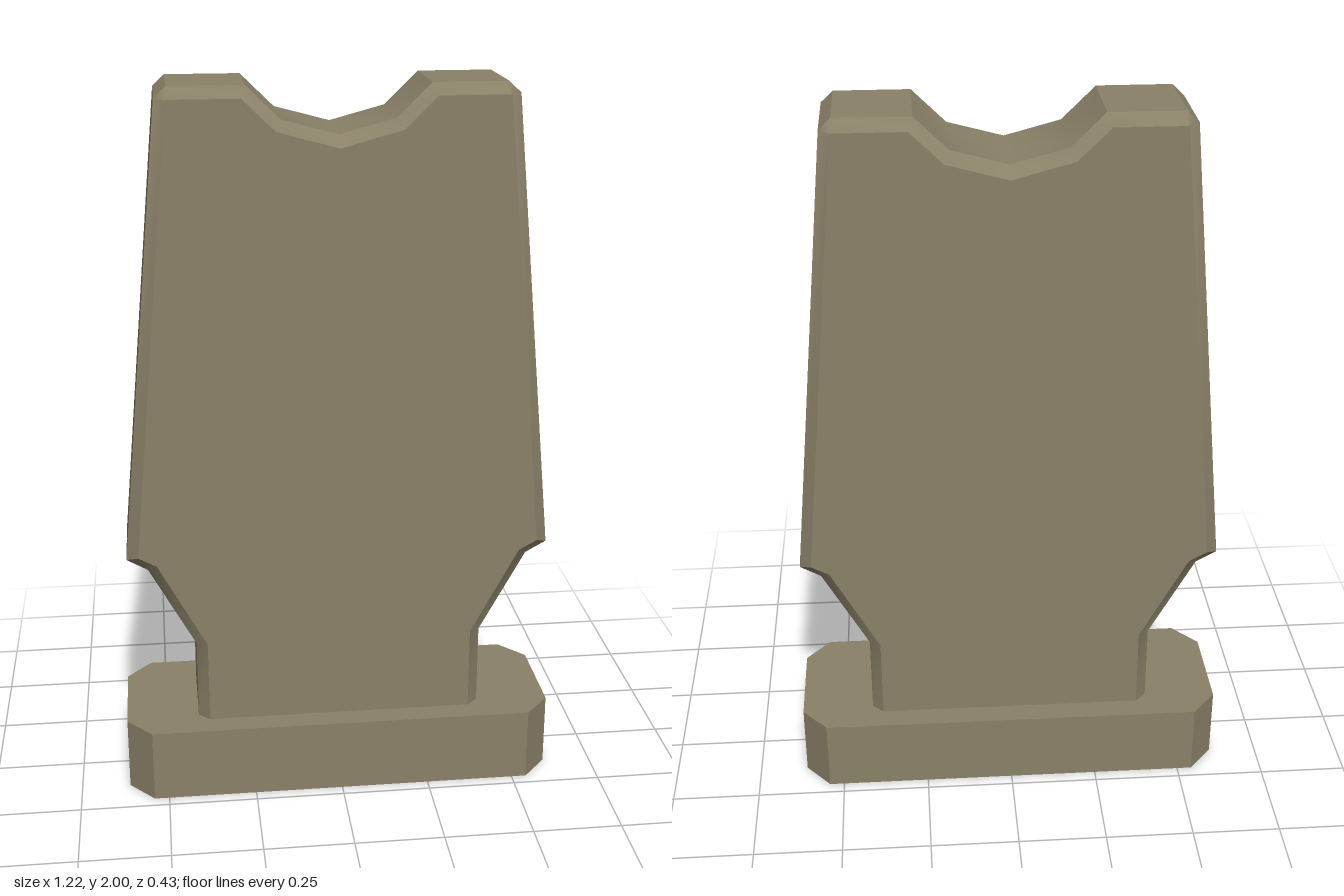
import * as THREE from 'three';
import { toCreasedNormals } from 'three/addons/utils/BufferGeometryUtils.js';

const CREASE = 0.61; // keeps the notch and neck smooth, chamfers sharp

// Joins consecutive rings of [x, y, z] points with quads
function stitch(rings, closed, extraTriangles = []) {
  const pos = [];
  const tri = (a, b, c) => pos.push(...a, ...b, ...c);
  for (let r = 0; r < rings.length - 1; r++) {
    const A = rings[r], B = rings[r + 1], n = A.length;
    for (let i = 0; i < (closed ? n : n - 1); i++) {
      const j = (i + 1) % n;
      tri(A[i], B[i], B[j]);
      tri(A[i], B[j], A[j]);
    }
  }
  extraTriangles.forEach(t => tri(...t));
  const g = new THREE.BufferGeometry();
  g.setAttribute('position', new THREE.Float32BufferAttribute(pos, 3));
  return toCreasedNormals(g, CREASE);
}

// Mirrors a right half outline ending on x = 0 into a full one
const mirror = half => [...half, ...half.slice(0, -1).reverse().map(([x, y]) => [-x, y])];

// Rectangle with cut corners, counterclockwise
const octagon = (w, d, cx, cz) => [
  [w, -d + cz], [w, d - cz], [w - cx, d], [-w + cx, d],
  [-w, d - cz], [-w, -d + cz], [-w + cx, -d], [w - cx, -d],
];

export function createModel() {
  const stone = new THREE.MeshStandardMaterial({ color: 0x8a8168, side: THREE.DoubleSide });
  stone.name = 'olive stone';
  const model = new THREE.Group();
  model.name = 'notchedSlab';
  const add = (name, geometry) => {
    const mesh = new THREE.Mesh(geometry, stone);
    mesh.name = name;
    model.add(mesh);
    return mesh;
  };

  // Slab: outer outline for the sides, inset outline for the broad faces
  const baseTop = 0.21;
  const outer = mirror([
    [0.407, baseTop], [0.407, 0.44], [0.535, 0.675], [0.593, 0.708],
    [0.472, 1.97], [0.44, 2], [0.24, 2], [0.15, 1.912], [0, 1.872],
  ]);
  const inner = mirror([
    [0.376, baseTop], [0.376, 0.448], [0.51, 0.697], [0.56, 0.724],
    [0.443, 1.967], [0.44, 1.97], [0.252, 1.97], [0.165, 1.885], [0, 1.84],
  ]);
  const at = (outline, z) => outline.map(([x, y]) => [x, y, z]);
  const front = at(inner, 0.148), back = at(inner, -0.148);
  const faces = THREE.ShapeUtils.triangulateShape(inner.map(p => new THREE.Vector2(...p)), []);
  const caps = faces.flatMap(([a, b, c]) => [
    [front[a], front[b], front[c]], [back[c], back[b], back[a]],
  ]);
  add('slab', stitch([front, at(outer, 0.118), at(outer, -0.118), back], false, caps));

  // Plinth: hollow underneath, walls plus a top plate open into the slab
  const plinth = octagon(0.612, 0.215, 0.07, 0.08);
  const level = y => plinth.map(([x, z]) => [x, y, -z]);
  add('plinthWalls', stitch([level(baseTop), level(0)], true));
  const vectors = pts => pts.map(p => new THREE.Vector2(...p));
  const plate = new THREE.Shape(vectors(plinth));
  plate.holes.push(new THREE.Path(vectors(octagon(0.407, 0.148, 0.031, 0.03))));
  const top = add('plinthTop', new THREE.ShapeGeometry(plate));
  top.rotation.x = -Math.PI / 2;
  top.position.y = baseTop;

  return model;
}
